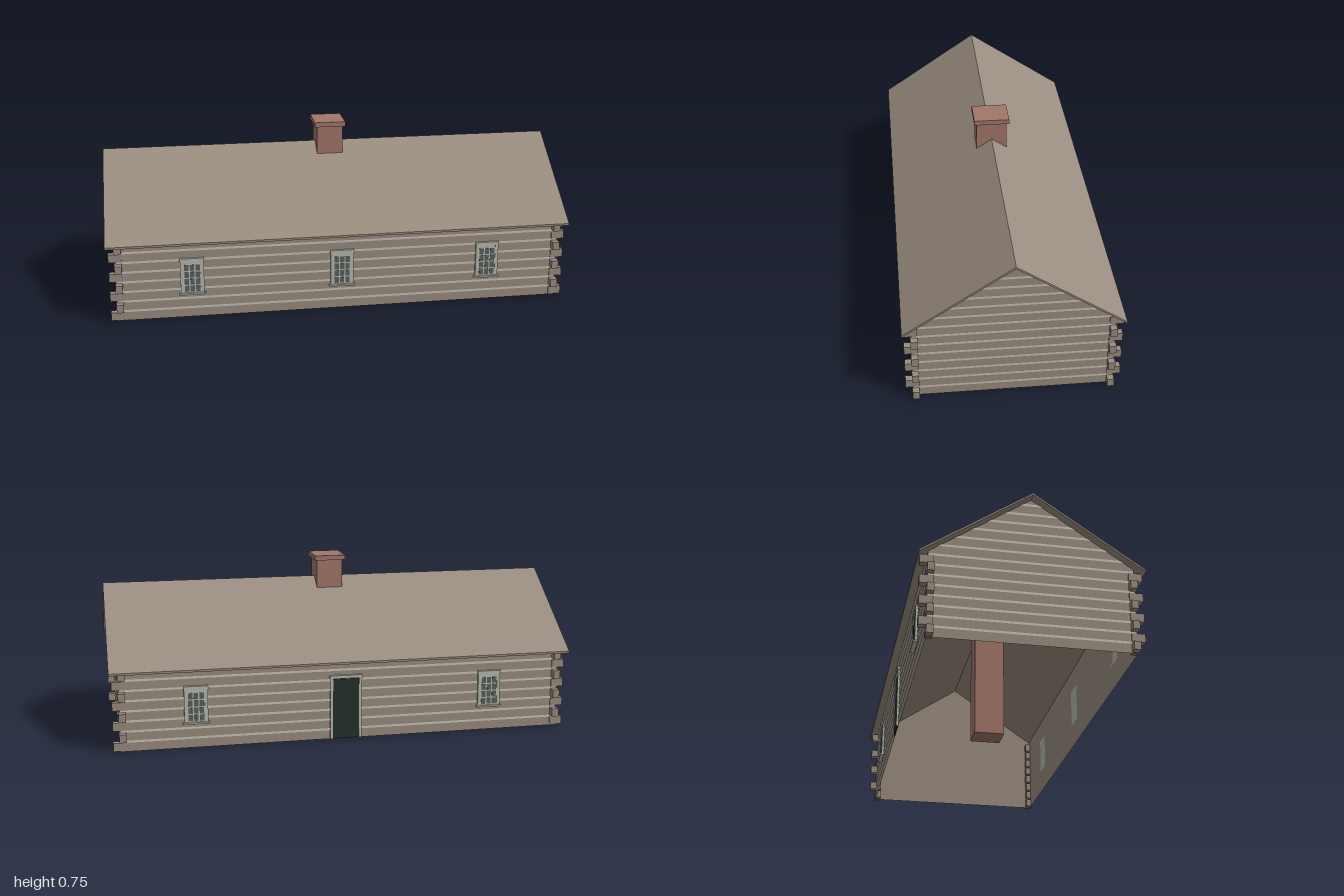
import * as THREE from 'three';

const mat = (name, color, side = THREE.FrontSide) => {
  const m = new THREE.MeshStandardMaterial({ color, side });
  m.name = name;
  return m;
};

export function createModel() {
  const wood = mat('weathered wood', 0x9a8d80);
  const woodThin = mat('weathered wood', 0x9a8d80, THREE.DoubleSide);
  woodThin.name = 'weathered wood wall';
  const chinkMat = mat('pale chinking', 0xcac5b8);
  const trim = mat('grey-green trim', 0xb9bbaf);
  const glass = mat('dark glass', 0x59605d);
  const doorMat = mat('dark green door', 0x26302a);
  const brick = mat('brick', 0xa37769);

  const model = new THREE.Group();
  model.name = 'logCabin';

  const X = 0.96, Z = 0.405;              // wall planes
  const RIDGE = 0.638, SLOPE = 0.677;     // underside of the roof
  const PITCH = 0.0437, CHINK = 0.0094;   // log course and chinking heights
  const EAVE = RIDGE - SLOPE * Z;

  const add = (parent, name, geo, material, x = 0, y = 0, z = 0) => {
    const m = new THREE.Mesh(geo, material);
    m.name = name;
    m.position.set(x, y, z);
    parent.add(m);
    return m;
  };
  const box = (parent, name, material, w, h, d, x, y, z) =>
    add(parent, name, new THREE.BoxGeometry(w, h, d), material, x, y, z);
  const poly = (pts) => new THREE.ShapeGeometry(
    new THREE.Shape(pts.map(([a, b]) => new THREE.Vector2(a, b))));
  const halfWidth = (y) => Math.min(Z, (RIDGE - y) / SLOPE);

  // One group per wall, drawn facing +z and then turned outward
  const makeWall = (name, angle, distance) => {
    const g = new THREE.Group();
    g.name = name;
    g.rotation.y = angle;
    g.position.set(Math.sin(angle) * distance, 0, Math.cos(angle) * distance);
    model.add(g);
    return g;
  };

  // Long walls with chinking between the logs
  const longWall = (name, angle) => {
    const g = makeWall(name, angle, Z);
    add(g, 'logWall', poly([[-X, 0], [X, 0], [X, EAVE], [-X, EAVE]]), woodThin);
    for (let k = 1; k <= 8; k++)
      add(g, 'chinking', new THREE.PlaneGeometry(2 * X, CHINK), chinkMat, 0, k * PITCH, 0.002);
    return g;
  };

  // Gable walls, with strips cut to the roof slope
  const gableWall = (name, angle) => {
    const g = makeWall(name, angle, X);
    add(g, 'logGable', poly([[-Z, 0], [Z, 0], [Z, EAVE], [0, RIDGE], [-Z, EAVE]]), woodThin);
    for (let k = 1; k <= 14; k++) {
      const a = k * PITCH - CHINK / 2, b = a + CHINK;
      const wa = halfWidth(a), wb = halfWidth(b);
      add(g, 'chinking', poly([[-wa, a], [wa, a], [wb, b], [-wb, b]]), chinkMat, 0, 0, 0.002);
    }
  };

  // Window: frame, twelve panes, sill and head
  const addWindow = (wall, x) => {
    const g = new THREE.Group();
    g.name = 'window';
    g.position.x = x;
    wall.add(g);
    box(g, 'windowFrame', trim, 0.1, 0.156, 0.008, 0, 0.19, 0.004);
    for (const s of [-1, 1])
      box(g, 'windowCasing', trim, 0.014, 0.156, 0.011, s * 0.043, 0.19, 0.0055);
    box(g, 'windowHead', trim, 0.104, 0.014, 0.012, 0, 0.262, 0.006);
    box(g, 'windowSill', trim, 0.112, 0.007, 0.018, 0, 0.11, 0.009);
    for (let c = -1; c <= 1; c++)
      for (let r = 0; r < 4; r++)
        box(g, 'pane', glass, 0.0185, 0.0265, 0.002, c * 0.0238, 0.132 + r * 0.0315, 0.008);
  };

  const front = longWall('frontWall', 0);
  const back = longWall('backWall', Math.PI);
  gableWall('leftGable', Math.PI / 2);
  gableWall('rightGable', -Math.PI / 2);
  for (const x of [-0.643, 0, 0.643]) addWindow(front, x);
  for (const x of [-0.643, 0.643]) addWindow(back, x);

  // Back door with its casing
  const door = new THREE.Group();
  door.name = 'door';
  back.add(door);
  box(door, 'doorPanel', doorMat, 0.118, 0.264, 0.006, 0, 0.134, 0.003);
  for (const s of [-1, 1])
    box(door, 'doorCasing', trim, 0.011, 0.272, 0.01, s * 0.0625, 0.138, 0.005);
  box(door, 'doorHead', trim, 0.144, 0.013, 0.013, 0, 0.276, 0.0065);

  // Interlocking log ends, alternating direction with each course
  const logH = PITCH - CHINK + 0.001;
  for (const sx of [-1, 1])
    for (const sz of [-1, 1])
      for (let k = 0; k < 8; k++) {
        const y = (k + 0.5) * PITCH;
        if (k % 2 === 0)
          box(model, 'longLogEnd', wood, 0.055, logH, 0.028, sx * 0.9625, y, sz * 0.396);
        else
          box(model, 'crossLogEnd', wood, 0.03, logH, 0.055, sx * 0.95, y, sz * 0.4095);
      }

  // Thin gabled roof, extruded along the ridge
  const e = 0.444, t = 0.009;
  const section = new THREE.Shape([
    [-e, RIDGE - SLOPE * e], [0, RIDGE], [e, RIDGE - SLOPE * e],
    [e, RIDGE + t - SLOPE * e], [0, RIDGE + t], [-e, RIDGE + t - SLOPE * e],
  ].map(([a, b]) => new THREE.Vector2(a, b)));
  const roofGeo = new THREE.ExtrudeGeometry(section, { depth: 2, bevelEnabled: false });
  roofGeo.translate(0, 0, -1);
  roofGeo.rotateY(Math.PI / 2);
  add(model, 'roof', roofGeo, wood);

  // Chimney standing on the ground and passing through the ridge
  box(model, 'chimney', brick, 0.115, 0.728, 0.132, 0, 0.364, 0);
  box(model, 'chimneyCap', brick, 0.136, 0.021, 0.154, 0, 0.737, 0);

  return model;
}
